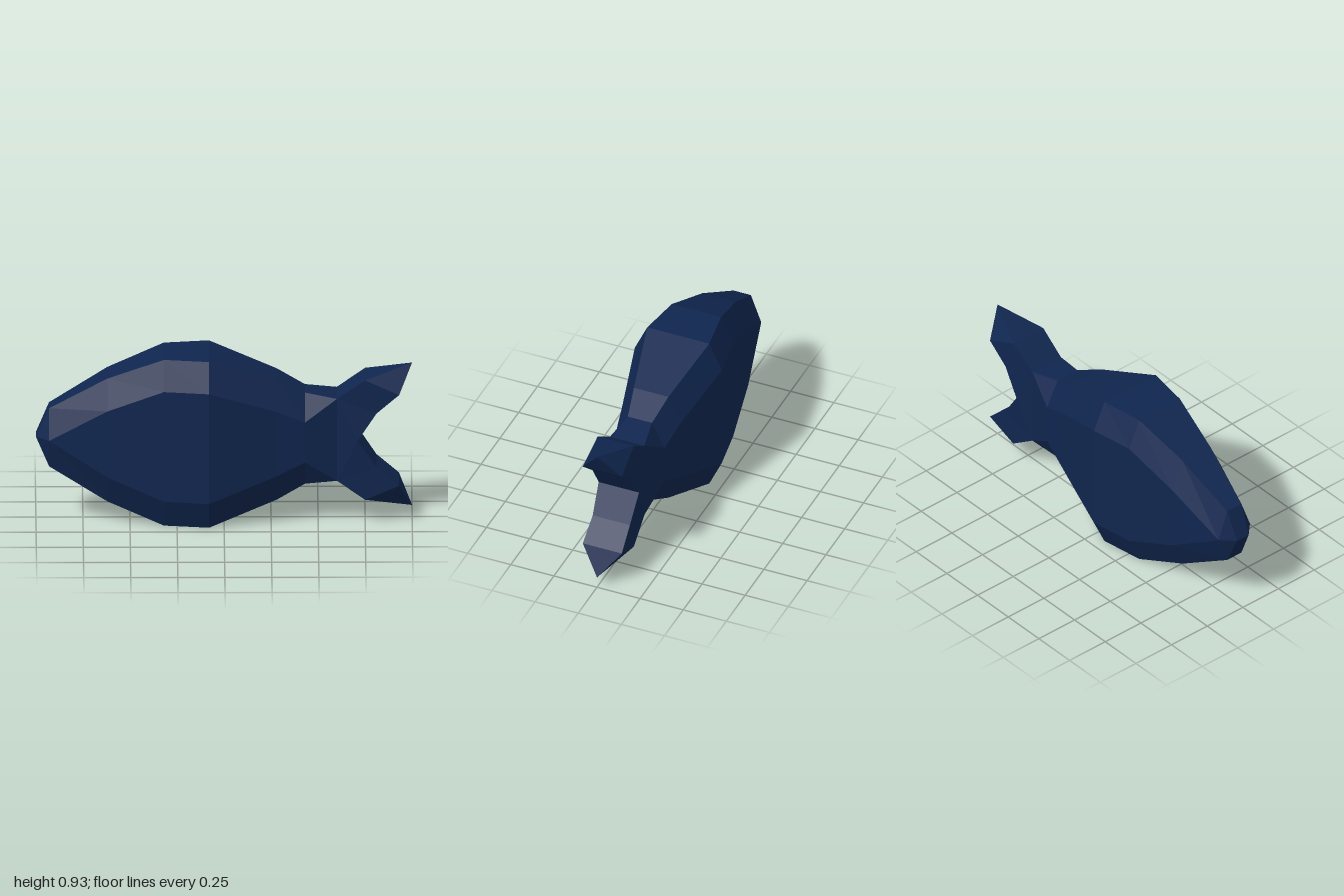
import * as THREE from 'three';

const MID = 0.465; // height of the fish's centre line

// Mesh from corner triples, skipping collapsed triangles
function facetMesh(name, triangles, material) {
  const pos = [];
  for (const [a, b, c] of triangles) {
    const area = new THREE.Triangle(a, b, c).getArea();
    if (area > 1e-7) for (const p of [a, b, c]) pos.push(p.x, p.y, p.z);
  }
  const geo = new THREE.BufferGeometry();
  geo.setAttribute('position', new THREE.Float32BufferAttribute(pos, 3));
  geo.computeVertexNormals();
  const mesh = new THREE.Mesh(geo, material);
  mesh.name = name;
  return mesh;
}

// Body: eight-sided rings, each with a flat flank bevelled to a narrower back and belly
function bodyTriangles() {
  // x, half height, back half width, flank half height, flank half width
  const stations = [
    [-1, 0, 0.04, 0, 0.04],
    [-0.93, 0.163, 0.05, 0, 0.11],
    [-0.62, 0.345, 0.096, 0.185, 0.17],
    [-0.32, 0.465, 0.143, 0.308, 0.213],
    [-0.08, 0.465, 0.18, 0.308, 0.252],
    [0.28, 0.335, 0.1, 0.18, 0.17],
    [0.43, 0.256, 0.07, 0.112, 0.143],
    [0.6, 0.23, 0.1, 0.23, 0.1],
  ];
  const rings = stations.map(([x, h, w, fh, fw]) =>
    [[h, w], [fh, fw], [-fh, fw], [-h, w], [-h, -w], [-fh, -fw], [fh, -fw], [h, -w]]
      .map(([y, z]) => new THREE.Vector3(x, MID + y, z)));
  const tris = [];
  for (let s = 0; s < rings.length - 1; s++) {
    for (let k = 0; k < 8; k++) {
      const n = (k + 1) % 8;
      const a = rings[s][k], b = rings[s][n], c = rings[s + 1][n], d = rings[s + 1][k];
      tris.push([a, b, c], [a, c, d]);
    }
  }
  return tris;
}

// Tail: forked outline with thickness, pinched to a point at both tips
function tailTriangles() {
  // x, y, half thickness of the lower lobe, root to notch
  const lower = [
    [0.6, 0.235, 0.1], [0.75, 0.13, 0.105], [1, 0.065, 0],
    [0.93, 0.21, 0.113], [0.81, 0.315, 0.108], [0.71, MID, 0.117],
  ];
  const upper = lower.slice(0, 5).reverse().map(([x, y, t]) => [x, 2 * MID - y, t]);
  const outline = [...lower, ...upper];
  const left = outline.map(([x, y, t]) => new THREE.Vector3(x, y, t));
  const right = outline.map(([x, y, t]) => new THREE.Vector3(x, y, -t));
  const tris = [];
  // flat sides
  const faces = [[0, 1, 4], [1, 2, 3], [1, 3, 4], [0, 4, 5], [0, 5, 10],
    [10, 5, 6], [10, 6, 9], [6, 7, 9], [7, 8, 9]];
  for (const [a, b, c] of faces) {
    tris.push([left[a], left[b], left[c]], [right[a], right[c], right[b]]);
  }
  // rim, open where it meets the body
  for (let i = 0; i < outline.length - 1; i++) {
    const j = i + 1;
    tris.push([left[i], right[i], right[j]], [left[i], right[j], left[j]]);
  }
  return tris;
}

export function createModel() {
  const navy = new THREE.MeshStandardMaterial({ color: 0x10264f, flatShading: true });
  navy.name = 'navy';
  const fish = new THREE.Group();
  fish.name = 'fish';
  fish.add(facetMesh('body', bodyTriangles(), navy));
  fish.add(facetMesh('tailFin', tailTriangles(), navy));
  return fish;
}
